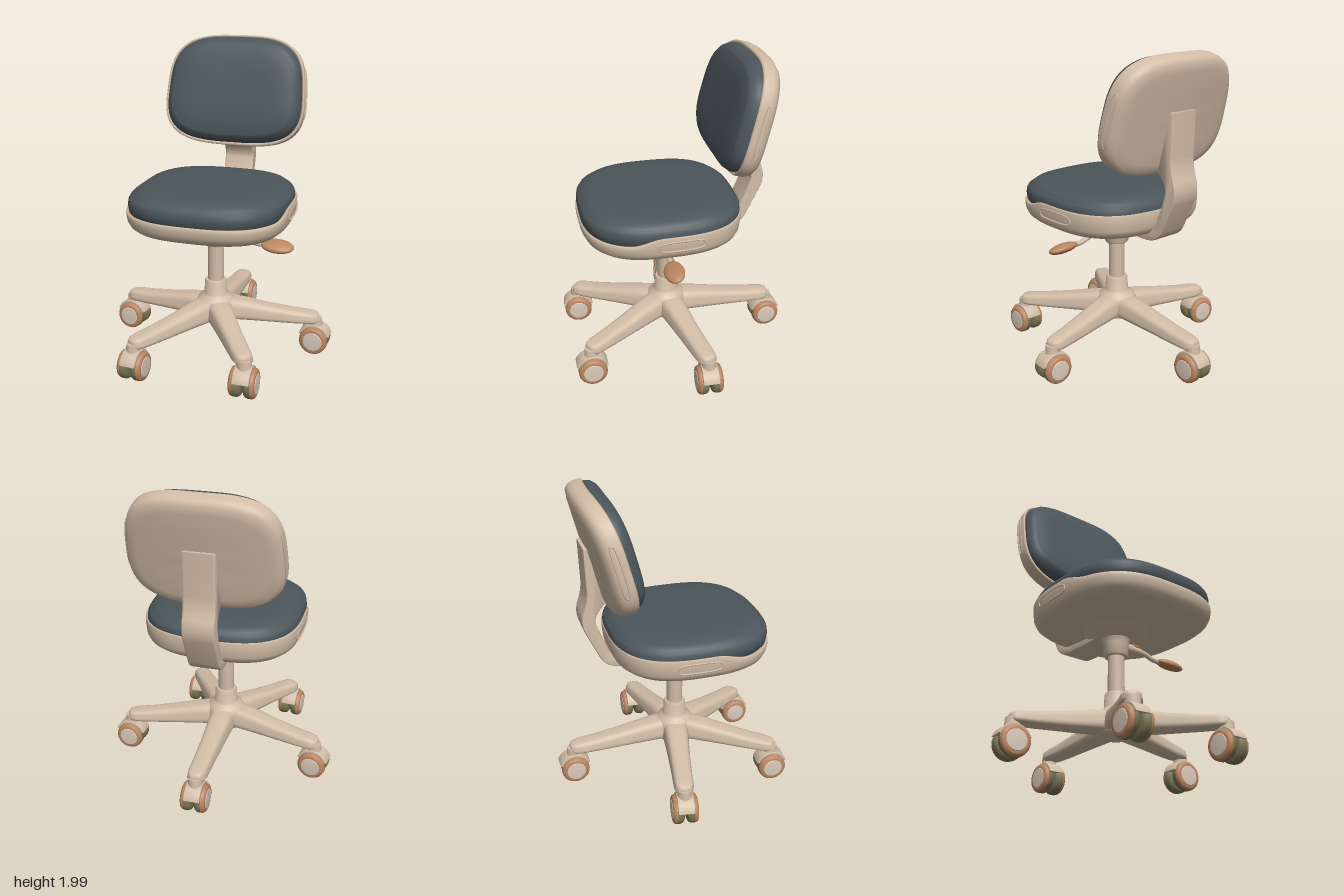
import * as THREE from 'three';
import { toCreasedNormals } from 'three/addons/utils/BufferGeometryUtils.js';

const material = (name, color) => {
  const m = new THREE.MeshStandardMaterial({ color });
  m.name = name;
  return m;
};
const beige = material('beige plastic', 0xd2bda7);
const fabric = material('slate fabric', 0x4b565b);
const copper = material('copper plastic', 0xbb8560);
const olive = material('olive rubber', 0x7d7856);
const pale = material('pale cap', 0xdacabb);

function add(parent, name, geometry, mat, x = 0, y = 0, z = 0) {
  const mesh = new THREE.Mesh(geometry, mat);
  mesh.name = name;
  mesh.position.set(x, y, z);
  parent.add(mesh);
  return mesh;
}

// Skin over rows of equally many [x, y, z] points
function loft(rows) {
  const n = rows[0].length, index = [];
  for (let i = 0; i < rows.length - 1; i++) {
    for (let j = 0; j < n; j++) {
      const a = i * n + j, b = i * n + (j + 1) % n;
      index.push(a, a + n, b, a + n, b + n, b);
    }
  }
  const g = new THREE.BufferGeometry();
  g.setAttribute('position', new THREE.Float32BufferAttribute(rows.flat(2), 3));
  g.setIndex(index);
  g.computeVertexNormals();
  return g;
}

// Point on a rounded-square outline, inset from its edge, at a height
function outlinePoint(o, angle, inset, y) {
  const rx = Math.max(o.rx - inset, 1e-4), rz = Math.max(o.rz - inset, 1e-4);
  const c = Math.cos(angle), s = Math.sin(angle);
  const r = Math.pow(Math.abs(c / rx) ** o.n + Math.abs(s / rz) ** o.n, -1 / o.n);
  const z = r * s, x = r * c * (1 + (o.taper || 0) * z / o.rz);
  return [x, o.warp ? o.warp(x, y, z) : y, z];
}

// Pad or tray from [inset, height] rings
const pad = (o, rings) => loft(rings.map(([inset, y]) =>
  Array.from({ length: 96 }, (_, j) => outlinePoint(o, j / 96 * Math.PI * 2, inset, y))));

// Raised rim of a side grip slot
function gripRim(o, angle, halfAngle, y, halfHeight) {
  const pts = Array.from({ length: 28 }, (_, i) => {
    const t = i / 28 * Math.PI * 2, c = Math.cos(t), s = Math.sin(t);
    return new THREE.Vector3(...outlinePoint(o, angle + halfAngle * Math.sign(c) * Math.abs(c) ** 0.6,
      0.002, y + halfHeight * Math.sign(s) * Math.abs(s) ** 0.6));
  });
  return new THREE.TubeGeometry(new THREE.CatmullRomCurve3(pts, true), 56, 0.006, 6, true);
}

const lathe = (pts, seg = 40) => toCreasedNormals(
  new THREE.LatheGeometry(pts.map(p => new THREE.Vector2(...p)), seg), 0.7);

function createSeat() {
  const seat = new THREE.Group();
  seat.name = 'seat';
  seat.position.z = 0.125;
  // The lip of the tray is higher along the sides and rear
  const lip = (x, y, z) => y + 0.045 * THREE.MathUtils.smoothstep(-z, -0.26, -0.06)
    * THREE.MathUtils.smoothstep(y, 0.97, 1.01);
  const tray = { rx: 0.505, rz: 0.505, n: 2.8, warp: lip };
  add(seat, 'seatShell', pad(tray, [[1, 0.895], [0.2, 0.895], [0.09, 0.9], [0.045, 0.908], [0.02, 0.93],
    [0.006, 0.96], [0, 0.99], [0, 1.01], [0.006, 1.018], [0.016, 1.016], [0.024, 0.99], [1, 0.99]]), beige);
  add(seat, 'seatCushion', pad({ rx: 0.492, rz: 0.5, n: 2.8 }, [[1, 0.99], [0.03, 0.99], [0.005, 1.02],
    [0, 1.06], [0.004, 1.088], [0.014, 1.105], [0.02, 1.102], [0.028, 1.116], [0.055, 1.136],
    [0.11, 1.147], [0.2, 1.15], [0.32, 1.151], [1, 1.151]]), fabric);
  for (const a of [0, Math.PI]) add(seat, 'seatGrip', gripRim(tray, a - (a ? -0.1 : 0.1), 0.27, 0.965 + 0.02, 0.013), beige);
  return seat;
}

function createBackrest() {
  const back = new THREE.Group();
  back.name = 'backrest';
  back.position.set(0, 1.635, -0.43);
  back.rotation.x = Math.PI / 2 - 0.25;
  const shell = { rx: 0.466, rz: 0.362, n: 3.2, taper: 0.05, warp: (x, y) => y + 0.2 * x * x };
  add(back, 'backShell', pad(shell, [[1, -0.06], [0.34, -0.06], [0.2, -0.06], [0.08, -0.059], [0.03, -0.052],
    [0.008, -0.03], [0, 0], [0, 0.05], [0.005, 0.06], [0.016, 0.058], [0.024, 0.03], [1, 0.03]]), beige);
  const cushion = { rx: 0.447, rz: 0.343, n: 3.2, taper: 0.05, warp: (x, y) => y + 0.1 * x * x };
  add(back, 'backCushion', pad(cushion, [[1, 0.02], [0.02, 0.02], [0, 0.06], [0, 0.085], [0.012, 0.115],
    [0.035, 0.138], [0.05, 0.146], [0.056, 0.143], [0.064, 0.15], [0.12, 0.16], [0.2, 0.165],
    [0.3, 0.167], [1, 0.167]]), fabric);
  for (const a of [0, Math.PI]) add(back, 'backGrip', gripRim(shell, a, 0.34, 0, 0.018), beige);
  return back;
}

// Bent bar joining the seat to the backrest, drawn as (z, y)
function createSpine() {
  const s = new THREE.Shape();
  s.moveTo(0.08, 0.865);
  s.lineTo(-0.3, 0.865);
  s.quadraticCurveTo(-0.4, 0.87, -0.435, 0.94);
  s.lineTo(-0.525, 1.13);
  s.quadraticCurveTo(-0.548, 1.19, -0.53, 1.25);
  s.quadraticCurveTo(-0.5, 1.33, -0.502, 1.4);
  s.lineTo(-0.512, 1.66);
  s.lineTo(-0.46, 1.66);
  s.lineTo(-0.4, 1.31);
  s.quadraticCurveTo(-0.47, 1.25, -0.472, 1.19);
  s.quadraticCurveTo(-0.46, 1.13, -0.41, 1.02);
  s.quadraticCurveTo(-0.39, 0.93, -0.3, 0.915);
  s.lineTo(0.08, 0.915);
  const g = new THREE.ExtrudeGeometry(s, { depth: 0.172, bevelSize: 0.008, bevelThickness: 0.012,
    bevelSegments: 3, curveSegments: 10 });
  g.translate(0, 0, -0.086);
  g.rotateY(-Math.PI / 2);
  return toCreasedNormals(g, 0.6);
}

// Tapering arm along +x, from [distance, half width, top, bottom] sections
function createArm(length) {
  const sections = [[0, 0.085, 0.37, 0.23], [0.17, 0.082, 0.365, 0.23], [0.3, 0.076, 0.352, 0.226],
    [0.5, 0.068, 0.325, 0.22], [0.75, 0.062, 0.298, 0.213], [0.9, 0.06, 0.286, 0.212],
    [0.96, 0.053, 0.28, 0.214], [0.99, 0.038, 0.272, 0.222], [1, 0.02, 0.26, 0.232], [1, 0, 0.245, 0.245]];
  return loft(sections.map(([s, w, top, bottom]) => Array.from({ length: 32 }, (_, j) => {
    const a = j / 32 * Math.PI * 2, c = Math.cos(a), d = Math.sin(a);
    const r = (c ** 4 + d ** 4) ** -0.25;
    return [s * length, (top + bottom) / 2 + r * d * (top - bottom) / 2, r * c * w * (1 - 0.12 * r * d)];
  })));
}

// Twin-wheel caster with its axle along z
function createCaster() {
  const caster = new THREE.Group();
  caster.name = 'caster';
  const hood = new THREE.Shape();
  hood.absarc(0, 0, 0.102, 0.35, Math.PI - 0.35);
  const hoodGeo = new THREE.ExtrudeGeometry(hood, { depth: 0.09, bevelSize: 0.003, bevelThickness: 0.006,
    bevelSegments: 2, curveSegments: 20 });
  hoodGeo.translate(0, 0, -0.045);
  add(caster, 'casterHood', toCreasedNormals(hoodGeo, 0.6), beige, 0, 0.1, 0);
  add(caster, 'casterStem', new THREE.CylinderGeometry(0.042, 0.048, 0.08, 24), beige, 0, 0.205, 0);
  for (const side of [0, Math.PI]) {
    const wheel = new THREE.Group();
    wheel.name = 'wheel';
    wheel.position.y = 0.1;
    wheel.rotation.y = side;
    const parts = [
      ['tyre', [[0, 0.009], [0.07, 0.009], [0.084, 0.016], [0.092, 0.032], [0.092, 0.054]], olive],
      ['wheelRing', [[0.092, 0.054], [0.09, 0.066], [0.084, 0.075], [0.076, 0.079], [0.062, 0.079]], copper],
      ['hubCap', [[0.064, 0.078], [0.06, 0.082], [0.03, 0.084], [0, 0.084]], pale],
    ];
    for (const [name, pts, mat] of parts) add(wheel, name, lathe(pts, 32).rotateX(Math.PI / 2), mat);
    caster.add(wheel);
  }
  return caster;
}

function createBase() {
  const base = new THREE.Group();
  base.name = 'base';
  const cz = 0.07;
  add(base, 'baseHub', lathe([[0, 0.225], [0.12, 0.225], [0.135, 0.25], [0.13, 0.34], [0.115, 0.368],
    [0.085, 0.385], [0.075, 0.4], [0.072, 0.48], [0.066, 0.492], [0, 0.492]]), beige, 0, 0, cz);
  // Caster x, z and yaw
  const casters = [[0.64, -0.06, -0.05], [-0.64, -0.065, -0.15], [0.35, 0.632, Math.PI / 2],
    [-0.35, 0.632, Math.PI / 2 - 0.08], [0, -0.632, Math.PI / 2]];
  for (const [x, z, yaw] of casters) {
    const arm = add(base, 'baseArm', createArm(Math.hypot(x, z - cz) + 0.022), beige, 0, 0, cz);
    arm.rotation.y = -Math.atan2(z - cz, x);
    const caster = createCaster();
    caster.position.set(x, 0, z);
    caster.rotation.y = yaw;
    base.add(caster);
  }
  return base;
}

function createLever() {
  const lever = new THREE.Group();
  lever.name = 'heightLever';
  const path = new THREE.CatmullRomCurve3([[0.03, 0.8, 0.08], [0.12, 0.805, 0.09], [0.2, 0.8, 0.1],
    [0.27, 0.775, 0.105], [0.36, 0.77, 0.105]].map(p => new THREE.Vector3(...p)));
  add(lever, 'leverRod', new THREE.TubeGeometry(path, 24, 0.016, 10), beige);
  const sleeve = add(lever, 'leverSleeve', new THREE.CylinderGeometry(0.024, 0.032, 0.13, 20), beige, 0.11, 0.805, 0.09);
  sleeve.rotation.z = -Math.PI / 2;
  const tab = add(lever, 'leverTab', new THREE.SphereGeometry(1, 20, 12), copper, 0.135, 0.828, 0.095);
  tab.scale.set(0.045, 0.012, 0.022);
  const paddle = add(lever, 'leverPaddle', new THREE.SphereGeometry(1, 32, 20), copper, 0.412, 0.77, 0.107);
  paddle.scale.set(0.105, 0.031, 0.064);
  paddle.rotation.set(0.3, 0, -0.06);
  return lever;
}

export function createModel() {
  const chair = new THREE.Group();
  chair.name = 'deskChair';
  chair.add(createSeat(), createBackrest(), createBase(), createLever());
  add(chair, 'spine', createSpine(), beige);
  // Dish and socket under the seat, and the gas column
  add(chair, 'seatMount', lathe([[0, 0.73], [0.07, 0.73], [0.077, 0.74], [0.077, 0.81], [0.09, 0.845],
    [0.13, 0.862], [0.18, 0.878], [0.215, 0.905], [0, 0.905]]), beige, 0, 0, 0.07);
  add(chair, 'column', new THREE.CylinderGeometry(0.052, 0.052, 0.3, 32), beige, 0, 0.61, 0.07);
  return chair;
}
